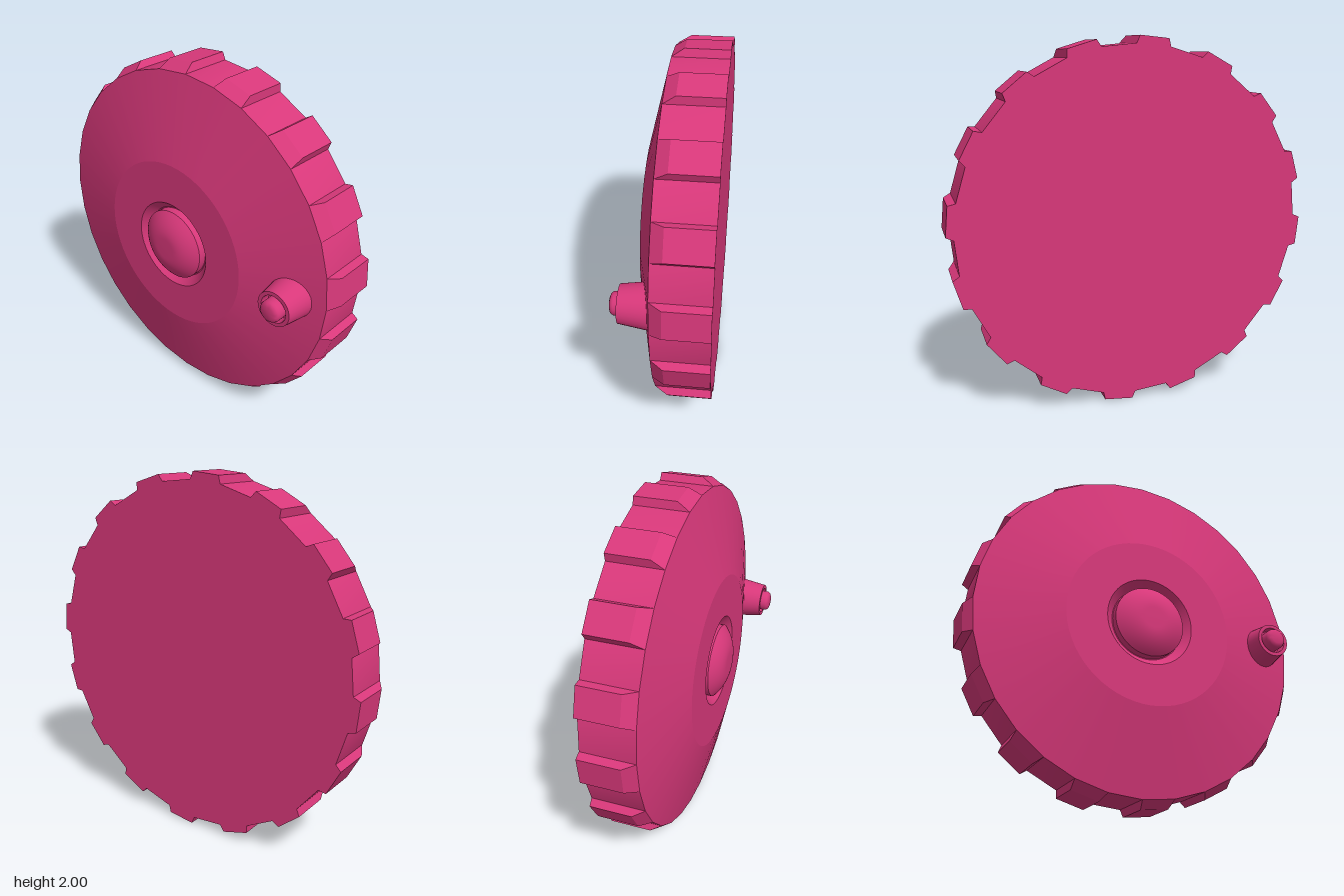
import * as THREE from 'three';
import { toCreasedNormals } from 'three/addons/utils/BufferGeometryUtils.js';

const CENTRE_Y = 1;
const SIDES = 32;
const STEP = (Math.PI * 2) / SIDES;
const RIM = 0.96;
const BACK = -0.255;
const FRONT = 0.04;

export function createModel() {
  const model = new THREE.Group();
  const material = new THREE.MeshStandardMaterial({ color: 0xd8387a });

  const add = (name, geometry, parent = model) => {
    const mesh = new THREE.Mesh(geometry, material);
    mesh.name = name;
    parent.add(mesh);
    return mesh;
  };

  // Turned part around the z axis; profile is [radius, z] from back to front
  const turned = (profile, sides) => {
    const points = profile.map(([r, z]) => new THREE.Vector2(r, z));
    const geometry = new THREE.LatheGeometry(points, sides).rotateX(Math.PI / 2);
    return toCreasedNormals(geometry, 0.5);
  };

  // Wheel body: flat back, rim and sloping front
  add('wheelBody', turned([[0, BACK], [RIM, BACK], [RIM, FRONT], [0.49, 0.15]], SIDES)).position.y = CENTRE_Y;

  // Flat front plate with a conical recess in the middle
  add('frontPlate', turned([[0.49, 0.15], [0.255, 0.15], [0.21, 0.1], [0, 0.1]], SIDES * 2)).position.y = CENTRE_Y;

  // Domed hub cap with a small flat centre
  const dome = [[0.205, 0.1], [0.205, 0.145]];
  for (let i = 1; i <= 10; i++) {
    const r = 0.205 - (0.145 * i) / 10;
    dome.push([r, 0.145 + 0.062 * (1 - ((r - 0.06) / 0.145) ** 2)]);
  }
  dome.push([0, 0.207]);
  add('hubCap', turned(dome, 48)).position.y = CENTRE_Y;

  // Tread blocks: tapered boxes on every other side of the rim, chamfered at the front
  const treads = new THREE.Group();
  treads.name = 'treadBlocks';
  treads.position.y = CENTRE_Y;
  model.add(treads);
  const block = new THREE.BoxGeometry(1, 1, 1).toNonIndexed();
  const p = block.attributes.position;
  for (let i = 0; i < p.count; i++) {
    const outer = p.getY(i) > 0;
    const angle = STEP * (0.5 - p.getX(i) * (outer ? 0.82 : 1));
    const r = outer ? 1.0 : RIM;
    const z = p.getZ(i) < 0 ? BACK : outer ? -0.025 : FRONT;
    p.setXYZ(i, r * Math.cos(angle), r * Math.sin(angle), z);
  }
  block.computeVertexNormals();
  for (let i = 0; i < SIDES / 2; i++) {
    add('treadBlock', block, treads).rotation.z = i * STEP * 2;
  }

  // Crank handle: tapered sleeve with a hollow end, and a rounded pin inside it
  const handle = new THREE.Group();
  handle.name = 'handle';
  handle.position.set(0.765, CENTRE_Y + 0.003, 0);
  model.add(handle);
  add('handleSleeve', turned([[0.122, 0.04], [0.12, 0.06], [0.098, 0.21], [0.077, 0.21], [0.072, 0.16], [0, 0.16]], 32), handle);
  add('handlePin', turned([[0.06, 0.15], [0.06, 0.232], [0.056, 0.242], [0.048, 0.25], [0.035, 0.255], [0, 0.255]], 32), handle);

  return model;
}
